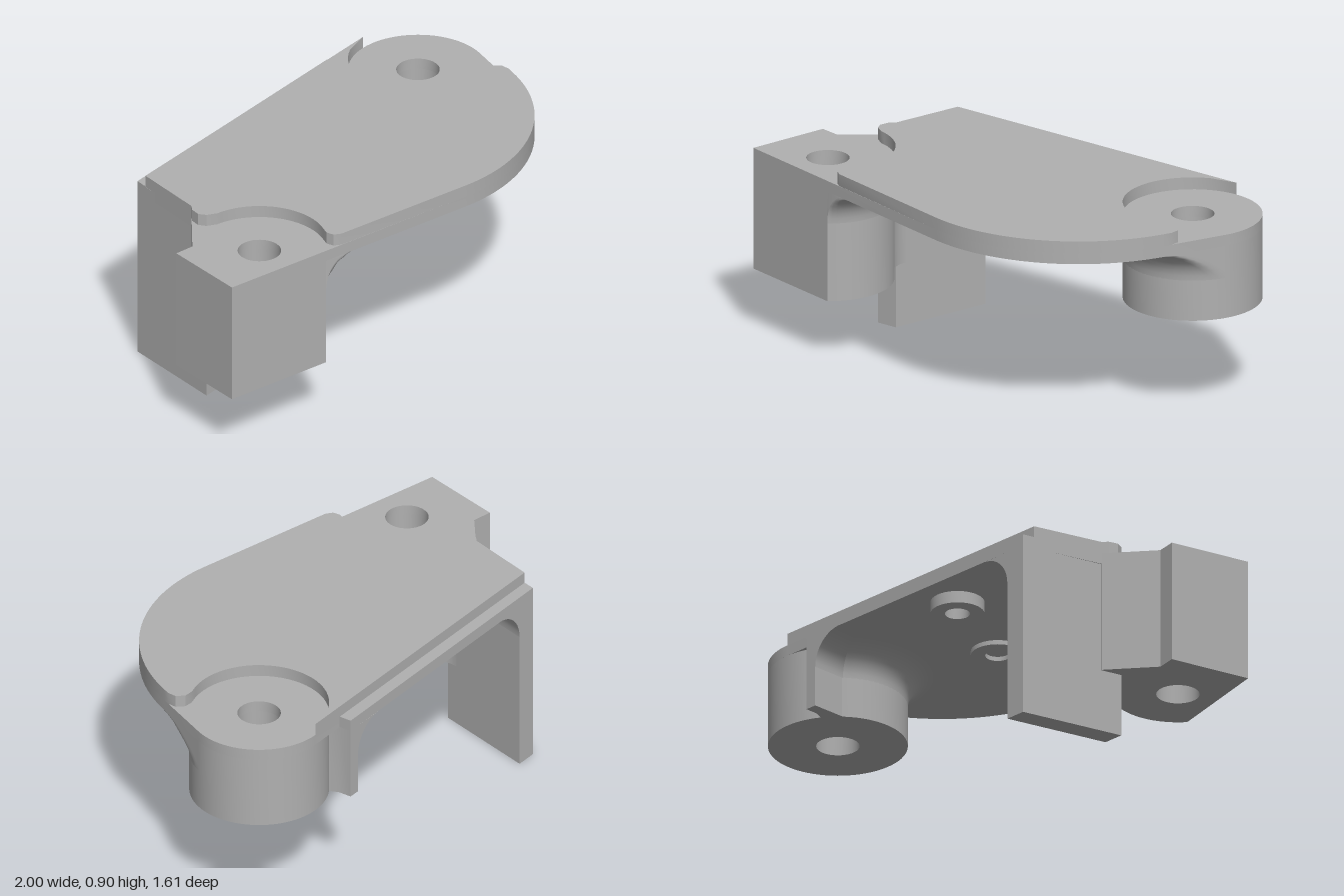
import * as THREE from 'three';
import { toCreasedNormals } from 'three/addons/utils/BufferGeometryUtils.js';

const RAD = Math.PI / 180;
const BIG = [0.695, -0.505], SMALL = [-0.67, 0.57]; // screw boss centres (x, z)
const HOLE = 0.095, FILLET = 0.15, UNDER = 0.8;

// Plan-view arc as [x, z] points, angles in degrees from +x towards +z
function arc([cx, cz], r, a0, a1, n = 24) {
  return Array.from({ length: n + 1 }, (_, i) => {
    const a = (a0 + (a1 - a0) * i / n) * RAD;
    return [cx + r * Math.cos(a), cz + r * Math.sin(a)];
  });
}

// Angle in degrees of point p seen from c
const angle = (c, p) => Math.atan2(p[1] - c[1], p[0] - c[0]) / RAD;

// Upright prism over a plan outline
function prism(points, y0, y1, holes = []) {
  const toV = ([x, z]) => new THREE.Vector2(x, -z);
  const shape = new THREE.Shape(points.map(toV));
  for (const h of holes) shape.holes.push(new THREE.Path(h.map(toV)));
  const geo = new THREE.ExtrudeGeometry(shape, { depth: y1 - y0, bevelEnabled: false });
  geo.rotateX(-Math.PI / 2).translate(0, y0, 0);
  return toCreasedNormals(geo, 0.5);
}

// Keep fillets inside the front edge and the right edge of the plate
function clip(x, z) {
  const over = Math.max(0, x * 0.173 + z * 0.985 - 0.627);
  return [Math.min(x - over * 0.173, 1), z - over * 0.985];
}

// Concave fillet under the plate; path entries are { p: [x, z], n: [nx, nz] }
function fillet(path, steps = 10) {
  const pos = [], idx = [], row = steps + 1;
  for (const { p, n } of path) {
    for (let j = 0; j <= steps; j++) {
      const t = j / steps * Math.PI / 2;
      const d = FILLET * (1 - Math.cos(t));
      const [x, z] = clip(p[0] + n[0] * d, p[1] + n[1] * d);
      pos.push(x, UNDER - FILLET * (1 - Math.sin(t)), z);
    }
  }
  for (let i = 0; i < path.length - 1; i++) {
    for (let j = 0; j < steps; j++) {
      const a = i * row + j, b = a + row;
      idx.push(a, a + 1, b, b, a + 1, b + 1);
    }
  }
  // End caps, with their own vertices
  for (const i of [0, path.length - 1]) {
    const base = pos.length / 3;
    pos.push(path[i].p[0], UNDER, path[i].p[1]);
    for (let j = 0; j <= steps; j++) {
      const k = (i * row + j) * 3;
      pos.push(pos[k], pos[k + 1], pos[k + 2]);
    }
    for (let j = 1; j <= steps; j++) {
      if (i === 0) idx.push(base, base + j + 1, base + j);
      else idx.push(base, base + j, base + j + 1);
    }
  }
  const geo = new THREE.BufferGeometry();
  geo.setAttribute('position', new THREE.Float32BufferAttribute(pos, 3));
  // Orient the surface away from the wall, downwards
  geo.setIndex(idx);
  geo.computeVertexNormals();
  let sum = 0;
  const nor = geo.attributes.normal;
  for (let i = 0; i < path.length * row; i++) sum += nor.getY(i);
  if (sum > 0) {
    geo.setIndex(idx.reverse());
    geo.computeVertexNormals();
  }
  return geo;
}

// Arc path with normals away from (side 1) or towards (side -1) its centre
function arcPath(c, r, a0, a1, side, n) {
  return arc(c, r, a0, a1, n).map(p => ({
    p, n: [side * (p[0] - c[0]) / r, side * (p[1] - c[1]) / r],
  }));
}

export function createModel() {
  const group = new THREE.Group();
  const grey = new THREE.MeshStandardMaterial({ color: 0xb0b0b0, side: THREE.DoubleSide });
  grey.name = 'grey';
  const add = (name, geo) => {
    const mesh = new THREE.Mesh(geo, grey);
    mesh.name = name;
    group.add(mesh);
  };

  const bigHole = arc(BIG, HOLE, 0, 350, 35), smallHole = arc(SMALL, HOLE, 0, 350, 35);
  const sweep = arc([0.21, -0.2], 0.79, 0, 79.9, 32); // broad front right curve

  // Base plate, the floor of both screw recesses
  add('basePlate', prism([
    [-0.84, -0.16], ...arc(BIG, 0.305, -113.6, 0), ...sweep,
    [-0.93, 0.8], [-1, 0.42], [-0.91, 0.4], [-0.79, 0.17],
  ], UNDER, 0.85, [bigHole, smallHole]));

  // Raised top plate, cut back around the two screw recesses
  add('topPlate', prism([
    [-0.84, -0.16], ...arc(BIG, 0.305, 246.4, 55, 32),
    [0.905, -0.283], [0.945, -0.297], [0.985, -0.28], [1, -0.24],
    ...sweep,
    [-0.33, 0.694], [-0.365, 0.685], [-0.383, 0.655],
    ...arc(SMALL, 0.295, 10, -100), [-0.77, 0.27], [-0.798, 0.245], [-0.803, 0.2], [-0.79, 0.17],
  ], 0.85, 0.905));

  // Low lip along the back edge
  add('backLip', prism([[-0.85, -0.215], [0.385, -0.765], [0.41, -0.71], [-0.84, -0.16]], UNDER, 0.853));

  // Round boss
  add('roundBoss', prism(arc(BIG, 0.305, 0, 355, 71), 0.464, UNDER, [bigHole]));
  add('bossWeb', prism([
    [0.335, -0.743], [0.385, -0.765], [0.41, -0.71], [0.47, -0.65], [0.47, -0.56], [0.4, -0.595],
  ], 0.464, UNDER));

  // Corner boss, blending into the side wall through a concave curve
  const Q = [-0.541, 0.149], joinBoss = [-0.585, 0.2925], joinWall = [-0.689, 0.173];
  const frontEnd = [-0.414, 0.708];
  const a0 = angle(SMALL, frontEnd), a1 = angle(SMALL, joinBoss);
  const q0 = angle(Q, joinBoss), q1 = angle(Q, joinWall) + (angle(Q, joinWall) < 0 ? 360 : 0);
  add('cornerBoss', prism([
    [-0.93, 0.8], ...arc(SMALL, 0.29, a0, a1), ...arc(Q, 0.15, q0, q1, 10).slice(1),
    [-0.79, 0.17], [-0.91, 0.4], [-1, 0.42],
  ], 0.29, UNDER, [smallHole]));

  // Side wall reaching the ground
  add('sideWall', prism([[-0.85, -0.215], [-0.77, 0.27], [-0.68, 0.23], [-0.76, -0.255]], 0, UNDER + 0.05));

  // Fillets between the plate and the bosses and walls
  const wallN = [0.987, -0.16], webN = [-0.916, 0.402];
  add('cornerFillet', fillet([
    ...arcPath(SMALL, 0.29, a0, a1, 1, 24),
    ...arcPath(Q, 0.15, q0, q1, -1, 10),
    { p: [-0.76, -0.255], n: [0.916, -0.402] },
  ].map((s, i, all) => i === all.length - 2 ? { p: s.p, n: wallN } : s)));
  add('webFillet', fillet([{ p: [0.335, -0.743], n: webN }, { p: [0.41, -0.572], n: webN }]));
  add('bossFillet', fillet(arcPath(BIG, 0.305, 197, 0, 1, 40)));

  // Small ring seats under the plate
  for (const [name, c, y] of [['backSeat', [-0.2, -0.28], 0.745], ['middleSeat', [0.215, 0.06], 0.78]]) {
    add(name, prism(arc(c, 0.118, 0, 350, 35), y, UNDER, [arc(c, 0.055, 0, 345, 23)]));
  }

  return group;
}
